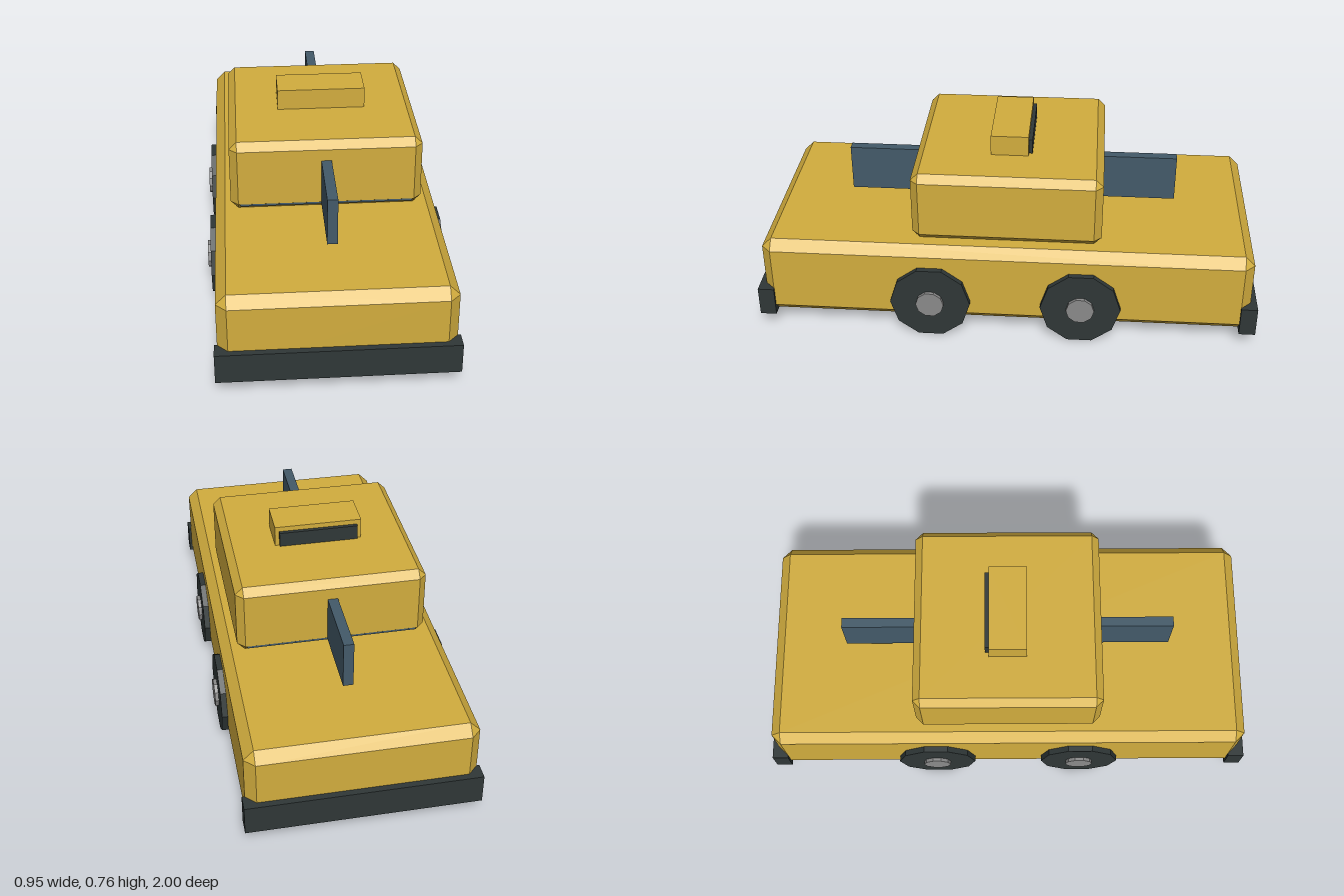
import * as THREE from 'three';
import { ConvexGeometry } from 'three/addons/geometries/ConvexGeometry.js';

const mat = (name, color) => {
  const m = new THREE.MeshStandardMaterial({ color });
  m.name = name;
  return m;
};

// Box with every edge cut at 45 degrees
function chamferBox(w, h, d, c) {
  const pts = [];
  const x = w / 2, y = h / 2, z = d / 2;
  for (const i of [-1, 1]) for (const j of [-1, 1]) for (const k of [-1, 1]) {
    pts.push(new THREE.Vector3(i * x, j * (y - c), k * (z - c)));
    pts.push(new THREE.Vector3(i * (x - c), j * y, k * (z - c)));
    pts.push(new THREE.Vector3(i * (x - c), j * (y - c), k * z));
  }
  return new ConvexGeometry(pts);
}

export function createModel() {
  const group = new THREE.Group();
  group.name = 'taxi';
  const yellow = mat('taxi yellow', 0xd2ad3e);
  const dark = mat('dark rubber', 0x2f3737);
  const glass = mat('slate glass', 0x435a69);
  const metal = mat('hub grey', 0x8a8a8a);

  const add = (name, geo, material, x, y, z) => {
    const m = new THREE.Mesh(geo, material);
    m.name = name;
    m.position.set(x, y, z);
    group.add(m);
    return m;
  };
  const box = (w, h, d) => new THREE.BoxGeometry(w, h, d);

  // Body and cabin
  add('body', chamferBox(0.874, 0.337, 1.95, 0.039), yellow, 0, 0.2235, 0);
  add('cabin', chamferBox(0.75, 0.29, 0.75, 0.03), yellow, 0, 0.537, 0);

  // Roof sign with a dark back panel
  add('roofSign', box(0.35, 0.09, 0.15), yellow, 0, 0.72, 0);
  add('signPanel', box(0.316, 0.06, 0.015), dark, 0, 0.715, -0.0825);

  // Bumpers, upright glass fins and the cross panes behind the cabin faces
  for (const s of [1, -1]) {
    const end = s > 0 ? 'front' : 'rear';
    add(end + 'Bumper', box(0.896, 0.12, 0.065), dark, 0, 0.115, s * 0.9675);
    add(end + 'Fin', box(0.04, 0.19, 0.6), glass, 0, 0.51, s * 0.371);
    add(end + 'Pane', box(0.676, 0.19, 0.04), glass, 0, 0.508, s * 0.3545);
  }

  // Ten-sided wheels with hubs
  const faceted = (r, w) => new THREE.CylinderGeometry(r, r, w, 10).rotateZ(Math.PI / 2).toNonIndexed();
  const tyre = faceted(0.16, 0.12), hub = faceted(0.056, 0.13);
  tyre.computeVertexNormals();
  hub.computeVertexNormals();
  for (const sx of [1, -1]) for (const sz of [1, -1]) {
    const place = (sz > 0 ? 'front' : 'rear') + (sx > 0 ? 'Left' : 'Right');
    add(place + 'Wheel', tyre, dark, sx * 0.4, 0.1522, sz * 0.3);
    add(place + 'Hub', hub, metal, sx * 0.409, 0.1522, sz * 0.3);
  }
  return group;
}
